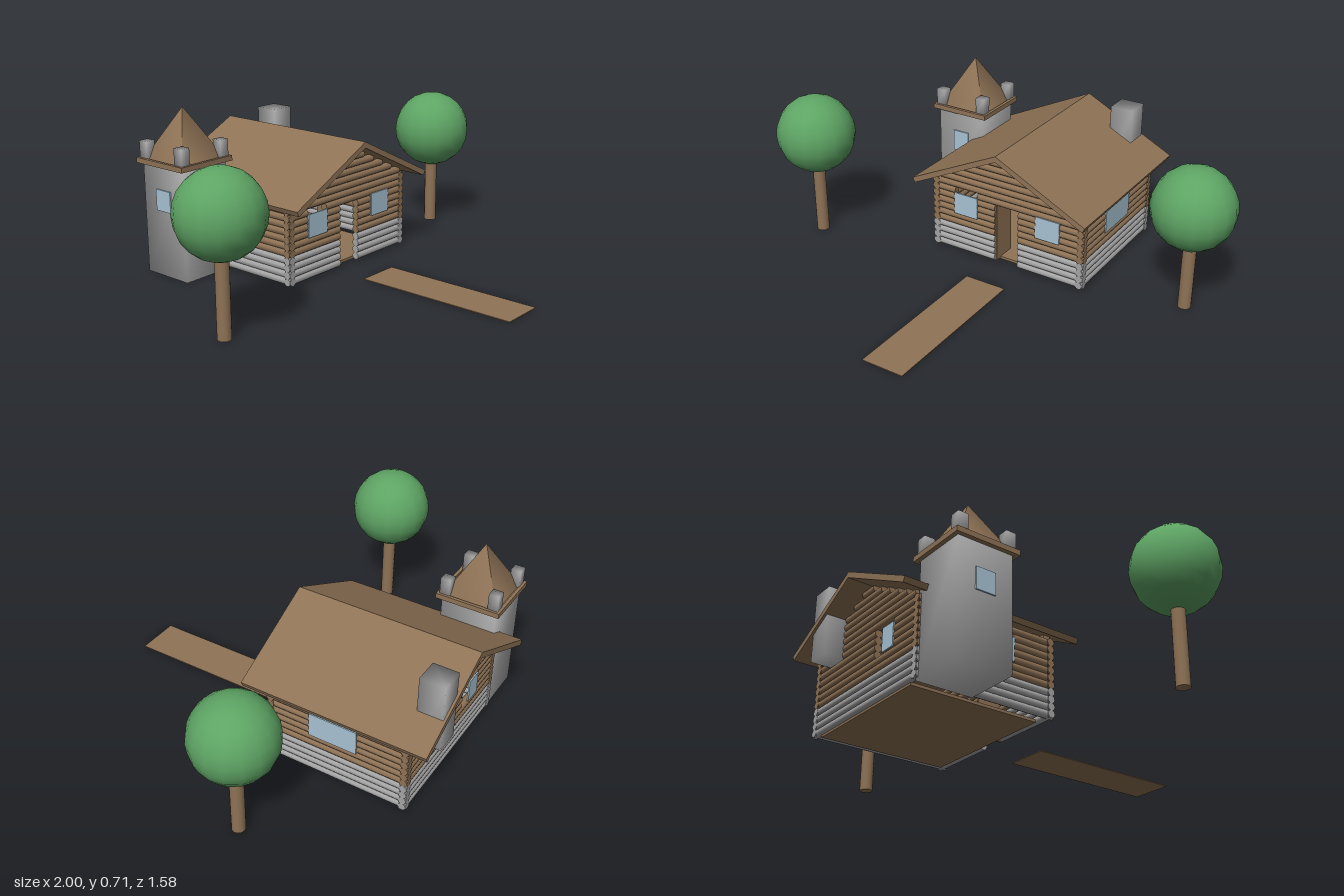
import * as THREE from 'three';
import { mergeVertices } from 'three/addons/utils/BufferGeometryUtils.js';

const material = (name, color, side = THREE.FrontSide) => {
  const m = new THREE.MeshStandardMaterial({ color, side });
  m.name = name;
  return m;
};

export function createModel() {
  const wood = material('wood', 0x8f7356);
  const stone = material('stone', 0xa6a6a6);
  const leaf = material('leaf green', 0x5ea464);
  const glass = material('window glass', 0xa8c3d4, THREE.DoubleSide);

  const model = new THREE.Group();
  model.name = 'cabinWithTower';
  const group = (name) => {
    const g = new THREE.Group();
    g.name = name;
    model.add(g);
    return g;
  };
  const add = (parent, name, geometry, mat, x = 0, y = 0, z = 0) => {
    const mesh = new THREE.Mesh(geometry, mat);
    mesh.name = name;
    mesh.position.set(x, y, z);
    parent.add(mesh);
    return mesh;
  };
  const box = (parent, name, mat, w, h, d, x, y, z) =>
    add(parent, name, new THREE.BoxGeometry(w, h, d), mat, x, y, z);
  // Box with shared, softened corner normals
  const softBox = (parent, name, mat, w, h, d, x, y, z) => {
    let g = new THREE.BoxGeometry(w, h, d);
    g.deleteAttribute('normal');
    g.deleteAttribute('uv');
    g = mergeVertices(g);
    g.computeVertexNormals();
    return add(parent, name, g, mat, x, y, z);
  };

  // Log walls: stacked cylinders, interrupted at openings [from, to, bottom, top]
  const midX = 0.0575, midZ = -0.388, row = 0.03, radius = 0.0165;
  const walls = group('logWalls');
  const log = (name, axis, from, to, y, at, mat) => {
    if (to - from < 0.005) return;
    const g = new THREE.CylinderGeometry(radius, radius, to - from, 10);
    const mid = (from + to) / 2;
    if (axis === 'x') add(walls, name, g.rotateZ(Math.PI / 2), mat, mid, y, at);
    else add(walls, name, g.rotateX(Math.PI / 2), mat, at, y, mid);
  };
  const wall = (name, axis, from, to, at, openings, gable) => {
    const rows = gable ? 17 : 11;
    for (let i = 0; i < rows; i++) {
      const y = 0.01 + row * (i + 0.5);
      let a = from, b = to;
      if (i > 10) {
        const half = (0.54 - y - row / 2) / 0.49;
        a = midX - half;
        b = midX + half;
      }
      const mat = i < 4 ? stone : wood;
      for (const [o0, o1, y0, y1] of openings) {
        if (y < y0 || y > y1) continue;
        log(name, axis, a, o0, y, at, mat);
        a = o1;
      }
      log(name, axis, a, b, y, at, mat);
    }
  };
  wall('frontWallLog', 'x', -0.315, 0.43, -0.093,
    [[-0.2, -0.088, 0.19, 0.31], [0, 0.115, 0, 0.28], [0.2, 0.315, 0.19, 0.28]], true);
  wall('backWallLog', 'x', -0.315, 0.43, -0.684, [[-0.15, -0.02, 0.19, 0.31]], true);
  wall('rightHandWallLog', 'z', -0.7, -0.077, 0.412, [[-0.48, -0.27, 0.19, 0.31]], false);
  wall('leftHandWallLog', 'z', -0.7, -0.077, -0.297, [[-0.41, -0.27, 0.19, 0.31]], false);

  // Window panes
  const windows = group('windows');
  box(windows, 'frontWindow', glass, 0.115, 0.1, 0.006, -0.144, 0.24, -0.077);
  box(windows, 'frontWindow', glass, 0.115, 0.1, 0.006, 0.258, 0.24, -0.077);
  box(windows, 'backWindow', glass, 0.075, 0.1, 0.006, -0.113, 0.24, -0.699);
  box(windows, 'sideWindow', glass, 0.006, 0.105, 0.21, 0.428, 0.242, -0.375);
  box(windows, 'sideWindow', glass, 0.006, 0.1, 0.14, -0.313, 0.24, -0.34);

  // Floor, open door and a small table inside
  const interior = group('interior');
  box(interior, 'floor', wood, 0.635, 0.012, 0.56, midX, 0.006, -0.405);
  box(interior, 'door', wood, 0.008, 0.27, 0.115, 0, 0.142, -0.15);
  box(interior, 'tableTop', wood, 0.16, 0.01, 0.12, 0.155, 0.113, -0.42);
  for (const x of [0.083, 0.227])
    for (const z of [-0.37, -0.47])
      box(interior, 'tableLeg', wood, 0.012, 0.1, 0.012, x, 0.06, z);

  // Gabled roof as an extruded chevron
  const roof = group('roof');
  const half = 0.417, thick = 0.022;
  const chevron = new THREE.Shape([
    [-half, 0.355], [0, 0.56], [half, 0.355],
    [half - 0.01, 0.355 - thick], [0, 0.56 - thick - 0.004], [-half + 0.01, 0.355 - thick],
  ].reverse().map(([x, y]) => new THREE.Vector2(x, y)));
  add(roof, 'roofPanels',
    new THREE.ExtrudeGeometry(chevron, { depth: 0.8, bevelEnabled: false }), wood, midX, 0, -0.79);

  // Chimney on the back wall
  softBox(model, 'chimney', stone, 0.105, 0.295, 0.107, 0.28, 0.428, -0.726);

  // Tower
  const tower = group('tower');
  tower.position.set(-0.417, 0, -0.57);
  softBox(tower, 'towerBody', stone, 0.235, 0.478, 0.24, 0, 0.239, 0);
  box(tower, 'platform', wood, 0.25, 0.012, 0.25, 0, 0.483, 0);
  for (const s of [-1, 1]) {
    box(tower, 'platformRim', wood, 0.278, 0.022, 0.014, 0, 0.486, s * 0.132);
    box(tower, 'platformRim', wood, 0.014, 0.022, 0.25, s * 0.132, 0.486, 0);
    for (const t of [-1, 1])
      softBox(tower, 'battlement', stone, 0.044, 0.08, 0.044, s * 0.106, 0.528, t * 0.106);
  }
  const spire = new THREE.CylinderGeometry(0, 0.168, 0.22, 4).rotateY(Math.PI / 4);
  add(tower, 'towerRoof', spire, wood, 0, 0.597, 0);
  box(tower, 'towerWindow', glass, 0.078, 0.098, 0.008, 0, 0.333, 0.122);
  box(tower, 'towerWindow', glass, 0.008, 0.09, 0.085, -0.12, 0.33, 0);

  // Front path
  box(model, 'path', wood, 0.187, 0.004, 0.71, 0.057, 0.002, 0.435);

  // Two round trees
  for (const [x, y, z] of [[-0.828, 0.475, 0.08], [0.828, 0.452, -0.215]]) {
    const tree = group('tree');
    tree.position.set(x, 0, z);
    add(tree, 'trunk', new THREE.CylinderGeometry(0.028, 0.028, y - 0.1, 12), wood, 0, (y - 0.1) / 2, 0);
    add(tree, 'crown', new THREE.SphereGeometry(0.173, 16, 12), leaf, 0, y, 0);
  }
  return model;
}
